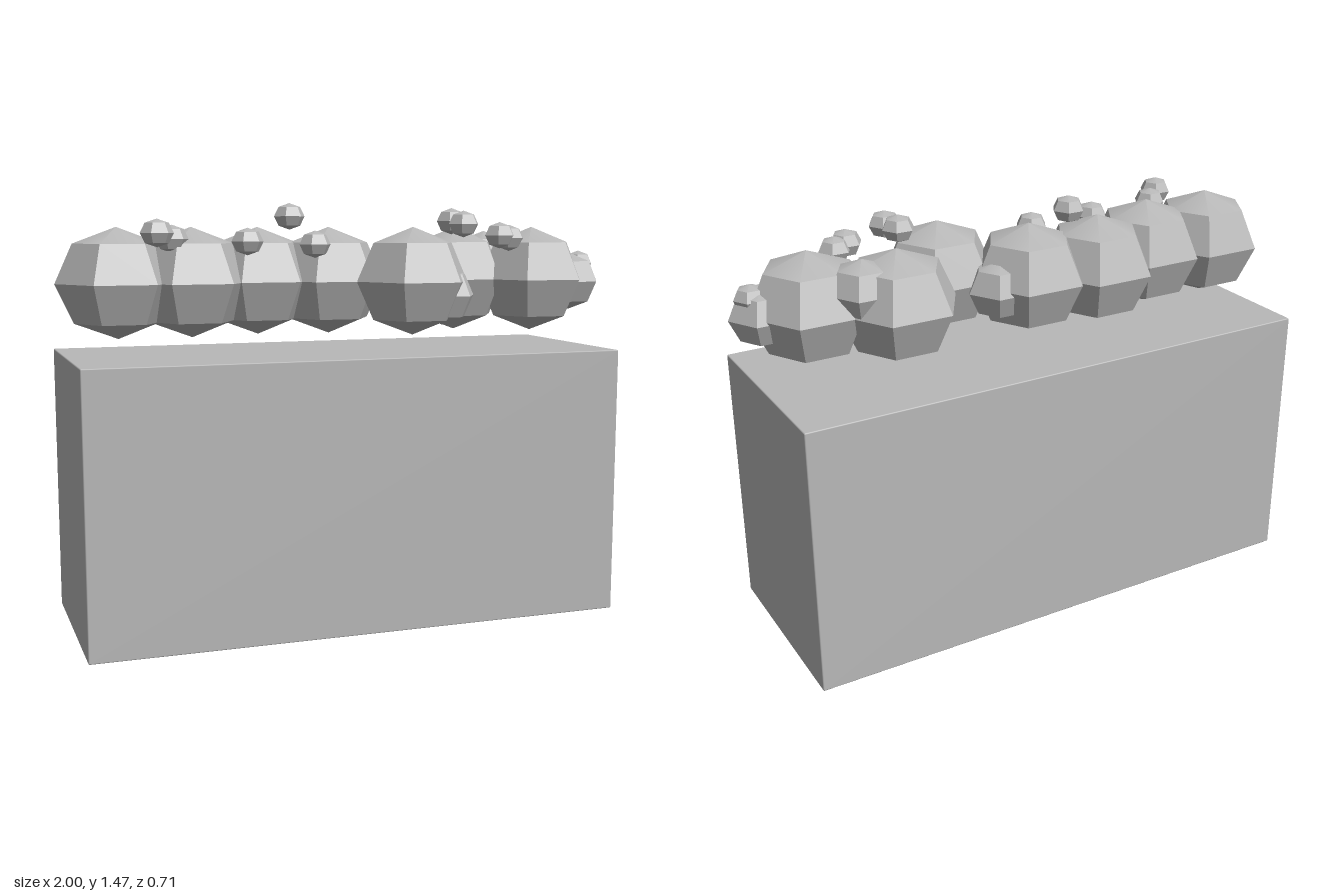
import * as THREE from 'three';
import { toCreasedNormals } from 'three/addons/utils/BufferGeometryUtils.js';
import { RoundedBoxGeometry } from 'three/addons/geometries/RoundedBoxGeometry.js';

export function createModel() {
  const group = new THREE.Group();
  const stone = new THREE.MeshStandardMaterial({ color: 0xb8b8b8 });
  stone.name = 'plain grey';

  // Block with a hairline bevel
  const block = new THREE.Mesh(new RoundedBoxGeometry(1.9, 0.95, 0.71, 1, 0.004), stone);
  block.name = 'block';
  block.position.set(-0.025, 0.475, 0);
  group.add(block);

  // Six-sided ball with soft caps and sharp side facets, points along x
  const ball = toCreasedNormals(new THREE.SphereGeometry(1, 6, 4), Math.PI / 6);

  function addBalls(name, radius, height, centres) {
    centres.forEach(([x, y, z], i) => {
      const mesh = new THREE.Mesh(ball, stone);
      mesh.name = name + (i + 1);
      mesh.position.set(x, y, z);
      mesh.scale.set(radius, height, radius);
      group.add(mesh);
    });
  }

  // Winding row of large clumps
  addBalls('largeClump', 0.21, 0.19, [
    [-0.79, 1.195, -0.045],
    [-0.535, 1.195, -0.035],
    [-0.28, 1.195, -0.105],
    [-0.025, 1.195, -0.07],
    [0.23, 1.195, 0.11],
    [0.48, 1.195, -0.095],
    [0.735, 1.195, 0.03],
  ]);

  // Side shoots
  addBalls('mediumClump', 0.118, 0.105, [
    [0.88, 1.185, 0.06],
    [0.1, 1.18, -0.095],
    [0.6, 1.265, -0.095],
    [0.33, 1.145, 0.15],
  ]);

  // Small buds
  addBalls('bud', 0.057, 0.047, [
    [-0.68, 1.365, 0.11],
    [-0.62, 1.345, 0.06],
    [-0.355, 1.335, 0.045],
    [-0.16, 1.422, -0.105],
    [-0.12, 1.325, 0.07],
    [0.41, 1.405, 0.035],
    [0.415, 1.395, 0.13],
    [0.56, 1.355, 0.125],
    [0.61, 1.345, 0.1],
    [0.92, 1.25, 0.055],
  ]);

  return group;
}
